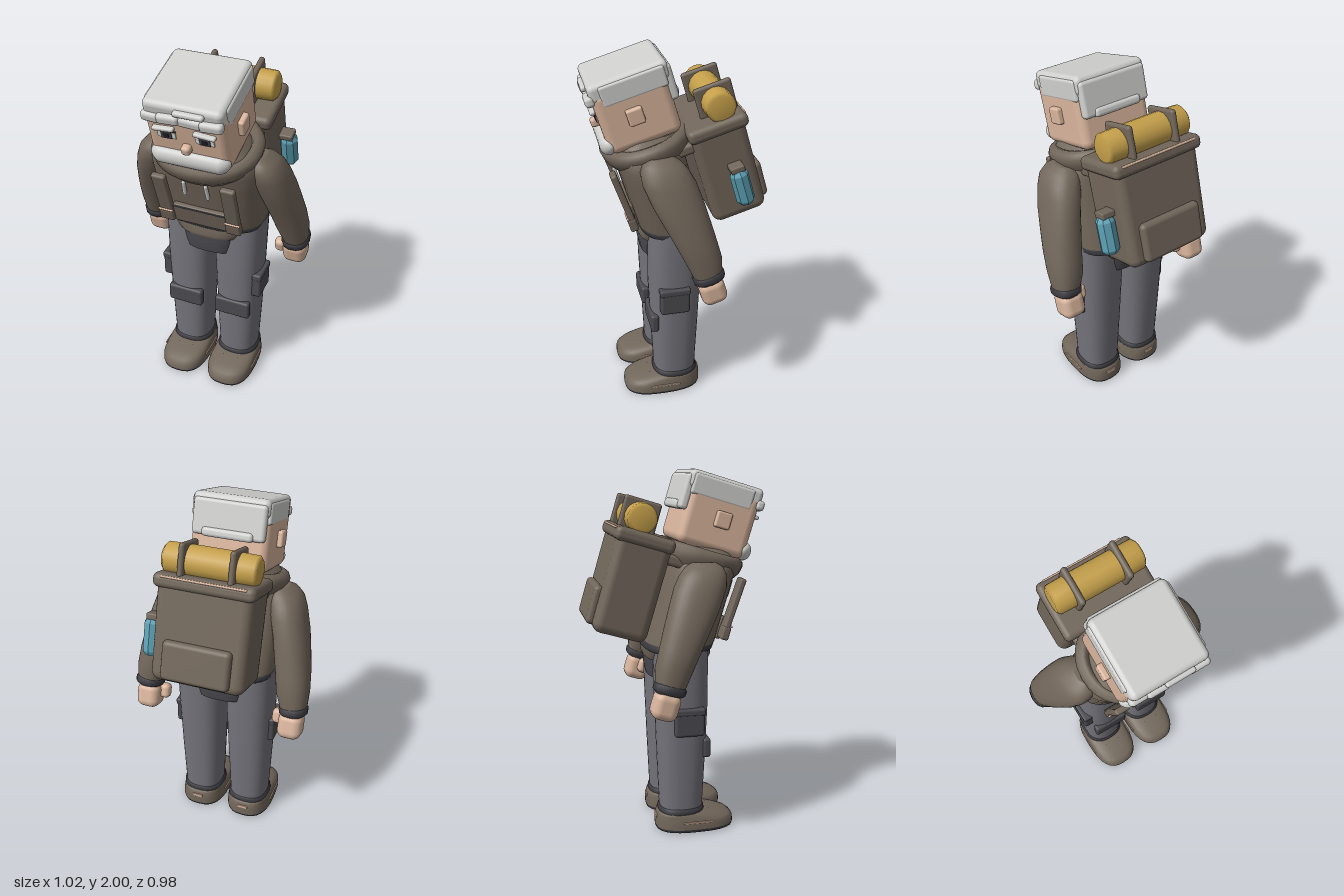
import * as THREE from 'three';
import { RoundedBoxGeometry } from 'three/addons/geometries/RoundedBoxGeometry.js';

const material = (name, color) => new THREE.MeshStandardMaterial({ name, color });
const MAT = {
  brown: material('jacket brown', 0x71665a),
  pants: material('trouser grey', 0x75747c),
  dark: material('dark grey', 0x4b4b50),
  sole: material('charcoal', 0x3c3c42),
  skin: material('skin', 0xd8b49c),
  hair: material('silver hair', 0xcfcfcd),
  gold: material('bedroll gold', 0xc5a04b),
  blue: material('bottle blue', 0x5b9fb3),
  white: material('eye white', 0xe6e6e4),
  black: material('pupil black', 0x222226),
};
const TILT = 0.29;

function add(parent, name, geometry, mat, x = 0, y = 0, z = 0, rx = 0, ry = 0, rz = 0) {
  const mesh = new THREE.Mesh(geometry, mat);
  mesh.name = name;
  mesh.position.set(x, y, z);
  mesh.rotation.set(rx, ry, rz);
  parent.add(mesh);
  return mesh;
}

// Rounded block
function block(parent, name, mat, [w, h, d], [x, y, z], r = 0.02, rot = [0, 0, 0]) {
  const radius = Math.min(r, w * 0.49, h * 0.49, d * 0.49);
  return add(parent, name, new RoundedBoxGeometry(w, h, d, 3, radius), mat, x, y, z, ...rot);
}

// Capped superellipse loft; each ring is [y, centreX, centreZ, radiusX, radiusZ]
function loft(rings, power = 2.5, seg = 32) {
  const pos = [], idx = [];
  const ring = ([y, cx, cz, rx, rz]) => {
    for (let j = 0; j < seg; j++) {
      const a = (j / seg) * Math.PI * 2, c = Math.cos(a), s = Math.sin(a);
      pos.push(cx + rx * Math.sign(c) * Math.abs(c) ** (2 / power), y,
        cz + rz * Math.sign(s) * Math.abs(s) ** (2 / power));
    }
  };
  rings.forEach(ring);
  for (let i = 0; i < rings.length - 1; i++)
    for (let j = 0; j < seg; j++) {
      const a = i * seg + j, b = i * seg + (j + 1) % seg;
      idx.push(a, a + seg, b, b, a + seg, b + seg);
    }
  for (const [r, top] of [[rings[0], false], [rings[rings.length - 1], true]]) {
    const start = pos.length / 3;
    ring(r);
    pos.push(r[1], r[0], r[2]);
    for (let j = 0; j < seg; j++) {
      const a = start + j, b = start + (j + 1) % seg, c = start + seg;
      top ? idx.push(c, b, a) : idx.push(c, a, b);
    }
  }
  const g = new THREE.BufferGeometry();
  g.setAttribute('position', new THREE.Float32BufferAttribute(pos, 3));
  g.setIndex(idx);
  g.computeVertexNormals();
  return g;
}

function makeLeg(root, s) {
  const x = 0.148 * s, leg = new THREE.Group();
  leg.name = s > 0 ? 'leftLeg' : 'rightLeg';
  root.add(leg);
  add(leg, 'trouserLeg', loft([[0.11, x, 0.035, 0.112, 0.12], [0.45, x, 0.035, 0.126, 0.135],
    [0.75, 0.147 * s, 0.035, 0.136, 0.147], [1.07, 0.147 * s, 0.03, 0.143, 0.15]], 2.5), MAT.pants);
  add(leg, 'ankleCuff', loft([[0.095, x, 0.035, 0.118, 0.125], [0.11, x, 0.035, 0.124, 0.13],
    [0.128, x, 0.035, 0.122, 0.128], [0.138, x, 0.035, 0.112, 0.12]], 2.5), MAT.sole);
  block(leg, 'kneePad', MAT.dark, [0.21, 0.11, 0.045], [0.147 * s, 0.487, 0.163], 0.015);
  block(leg, 'cargoPocket', MAT.dark, [0.06, 0.15, 0.165], [0.272 * s, 0.652, 0.055], 0.015);
  block(leg, 'pocketFlap', MAT.dark, [0.066, 0.04, 0.172], [0.272 * s, 0.715, 0.055], 0.012);
  // Boot
  add(leg, 'bootSole', loft([[0, x, 0.112, 0.128, 0.215], [0.006, x, 0.112, 0.136, 0.222],
    [0.026, x, 0.112, 0.138, 0.224]], 2.7), MAT.sole);
  add(leg, 'bootUpper', loft([[0.02, x, 0.112, 0.139, 0.225], [0.055, x, 0.111, 0.138, 0.223],
    [0.075, x, 0.1, 0.132, 0.21], [0.092, x, 0.075, 0.128, 0.18], [0.108, x, 0.045, 0.122, 0.143],
    [0.115, x, 0.035, 0.11, 0.12]], 2.7), MAT.brown);
  for (const side of [-1, 1])
    block(leg, 'bootStripe', MAT.skin, [0.008, 0.009, 0.17], [x + side * 0.136, 0.062, 0.11], 0.003);
  block(leg, 'heelTab', MAT.skin, [0.06, 0.02, 0.008], [x, 0.075, -0.108], 0.003);
  for (let i = 0; i < 3; i++)
    block(leg, 'bootLace', MAT.sole, [0.1, 0.009, 0.014], [x, 0.102 - i * 0.009, 0.19 + i * 0.035], 0.004, [0.25, 0, 0]);
}

function makeArm(root, s) {
  const arm = new THREE.Group();
  arm.name = s > 0 ? 'leftArm' : 'rightArm';
  root.add(arm);
  add(arm, 'sleeve', loft([[0.885, 0.43 * s, -0.088, 0.068, 0.075], [1.0, 0.413 * s, -0.06, 0.09, 0.102],
    [1.1, 0.398 * s, -0.022, 0.094, 0.113], [1.2, 0.377 * s, 0.018, 0.095, 0.125],
    [1.3, 0.355 * s, 0.058, 0.095, 0.135], [1.4, 0.325 * s, 0.095, 0.094, 0.138],
    [1.46, 0.305 * s, 0.115, 0.09, 0.125], [1.5, 0.285 * s, 0.125, 0.075, 0.1],
    [1.525, 0.265 * s, 0.13, 0.045, 0.06]], 2.3), MAT.brown);
  add(arm, 'wristCuff', loft([[-0.025, 0, 0, 0.066, 0.072], [-0.014, 0, 0, 0.078, 0.086],
    [0.014, 0, 0, 0.08, 0.088], [0.026, 0, 0, 0.07, 0.078]], 2.4, 14), MAT.sole,
    0.43 * s, 0.893, -0.09, 0.3, 0, 0.1 * s);
  block(arm, 'hand', MAT.skin, [0.135, 0.15, 0.14], [0.425 * s, 0.808, -0.112], 0.045, [0.3, 0, 0]);
  block(arm, 'thumb', MAT.skin, [0.062, 0.085, 0.065], [0.342 * s, 0.828, -0.085], 0.025, [0.3, 0, 0]);
}

function makeHead(upper) {
  const head = new THREE.Group();
  head.name = 'head';
  upper.add(head);
  block(head, 'face', MAT.skin, [0.425, 0.34, 0.39], [0, 0.77, 0.008], 0.045);
  block(head, 'nose', MAT.skin, [0.05, 0.052, 0.05], [0, 0.732, 0.218], 0.018);
  add(head, 'neck', new THREE.CylinderGeometry(0.14, 0.15, 0.16, 24), MAT.skin, 0, 0.56, 0);
  for (const s of [-1, 1]) {
    block(head, 'ear', MAT.skin, [0.04, 0.088, 0.085], [0.222 * s, 0.774, 0.022], 0.012);
    block(head, 'eyeWhite', MAT.white, [0.098, 0.044, 0.008], [0.1 * s, 0.796, 0.204], 0.003);
    block(head, 'iris', MAT.dark, [0.058, 0.042, 0.008], [0.1 * s, 0.795, 0.208], 0.003);
    block(head, 'pupil', MAT.black, [0.03, 0.028, 0.006], [0.1 * s, 0.795, 0.212], 0.002);
    block(head, 'eyelid', MAT.black, [0.104, 0.009, 0.009], [0.1 * s, 0.82, 0.206], 0.003);
    block(head, 'eyebrow', MAT.hair, [0.115, 0.022, 0.03], [0.107 * s, 0.842, 0.215], 0.009, [0, 0, -0.08 * s]);
    block(head, 'sideHair', MAT.hair, [0.03, 0.11, 0.34], [0.2 * s, 0.915, -0.015], 0.014);
  }
  // Moustache: a bean with drooping rounded ends
  const bean = new THREE.CapsuleGeometry(0.052, 0.32, 10, 24);
  bean.rotateZ(Math.PI / 2);
  const p = bean.attributes.position;
  for (let i = 0; i < p.count; i++) {
    const x = p.getX(i), t = Math.abs(x) / 0.212;
    p.setY(i, p.getY(i) * (1.1 - 0.25 * t * t) + 0.012 * t * t);
    p.setZ(i, p.getZ(i) * 0.75 - 0.03 * t * t);
  }
  bean.computeVertexNormals();
  add(head, 'moustache', bean, MAT.hair, 0, 0.642, 0.22);
  // Hair
  block(head, 'hairTop', MAT.hair, [0.415, 0.1, 0.415], [0, 0.937, 0.0], 0.03);
  block(head, 'hairBack', MAT.hair, [0.395, 0.19, 0.05], [0, 0.865, -0.195], 0.02);
  block(head, 'hairNape', MAT.hair, [0.28, 0.05, 0.05], [0, 0.79, -0.208], 0.02);
  [[-0.165, 0.1, 0.9], [-0.07, 0.12, 0.91], [0.04, 0.13, 0.903], [0.15, 0.12, 0.908]].forEach(([x, w, y], i) =>
    block(head, 'fringeLock', MAT.hair, [w, 0.055, 0.05], [x, y, 0.202 + (i % 2) * 0.008], 0.02, [0, 0, (i % 2 ? 1 : -1) * 0.06]));
  block(head, 'frontCurl', MAT.hair, [0.16, 0.03, 0.035], [0.04, 0.955, 0.213], 0.014);
}

function makePack(upper) {
  const pack = new THREE.Group();
  pack.name = 'backpack';
  upper.add(pack);
  block(pack, 'packBody', MAT.brown, [0.51, 0.54, 0.3], [0, 0.305, -0.345], 0.05);
  block(pack, 'packLid', MAT.brown, [0.54, 0.075, 0.325], [0, 0.565, -0.35], 0.03);
  block(pack, 'backPocket', MAT.brown, [0.37, 0.21, 0.06], [0, 0.165, -0.5], 0.025);
  block(pack, 'lidTrim', MAT.skin, [0.45, 0.012, 0.012], [0, 0.587, -0.508], 0.005);
  // Bedroll
  const roll = new THREE.LatheGeometry([[0, -0.25], [0.062, -0.25], [0.08, -0.235], [0.083, -0.1],
    [0.083, 0.1], [0.08, 0.235], [0.062, 0.25], [0, 0.25]].map(([r, y]) => new THREE.Vector2(r, y)), 16);
  add(pack, 'bedroll', roll, MAT.gold, 0, 0.665, -0.395, 0, 0, Math.PI / 2);
  for (const x of [-0.133, 0.133])
    block(pack, 'rollStrap', MAT.brown, [0.032, 0.18, 0.205], [x, 0.672, -0.395], 0.035);
  // Water bottle
  const bottle = new THREE.LatheGeometry([[0, -0.1], [0.036, -0.1], [0.05, -0.078], [0.05, 0.075],
    [0.034, 0.1], [0, 0.1]].map(([r, y]) => new THREE.Vector2(r, y)), 8).toNonIndexed();
  bottle.computeVertexNormals();
  add(pack, 'waterBottle', bottle, MAT.blue, 0.297, 0.235, -0.38);
  block(pack, 'bottleCap', MAT.brown, [0.08, 0.035, 0.075], [0.288, 0.345, -0.378], 0.008);
}

export function createModel() {
  const root = new THREE.Group();
  root.name = 'hiker';
  for (const s of [-1, 1]) {
    makeLeg(root, s);
    makeArm(root, s);
  }
  // Hips and jacket, leaning forward with height
  add(root, 'hips', loft([[0.875, 0, 0.035, 0.16, 0.165], [0.93, 0, 0.035, 0.17, 0.175],
    [1.0, 0, 0.035, 0.185, 0.178]], 3), MAT.dark);
  add(root, 'lowerHem', loft([[0.98, 0, 0.035, 0.195, 0.18], [1.0, 0, 0.035, 0.205, 0.188],
    [1.05, 0, 0.03, 0.25, 0.185]], 3), MAT.brown);
  add(root, 'hemBand', loft([[1.035, 0, 0.025, 0.27, 0.18], [1.045, 0, 0.027, 0.284, 0.191],
    [1.075, 0, 0.035, 0.288, 0.193], [1.085, 0, 0.035, 0.275, 0.185]], 3), MAT.sole);
  add(root, 'jacketBody', loft([[1.06, 0, 0.032, 0.284, 0.19], [1.09, 0, 0.04, 0.291, 0.194],
    [1.2, 0, 0.075, 0.292, 0.19], [1.35, 0, 0.12, 0.298, 0.188], [1.44, 0, 0.145, 0.3, 0.188],
    [1.5, 0, 0.16, 0.285, 0.182], [1.56, 0, 0.16, 0.24, 0.165], [1.6, 0, 0.155, 0.19, 0.14]], 3), MAT.brown);

  const upper = new THREE.Group();
  upper.name = 'upperBody';
  upper.position.y = 1;
  upper.rotation.x = TILT;
  root.add(upper);
  add(upper, 'collar', loft([[0.48, 0, 0, 0.25, 0.215], [0.525, 0, 0, 0.287, 0.243], [0.565, 0, 0, 0.296, 0.25],
    [0.59, 0, 0, 0.285, 0.243], [0.605, 0, 0, 0.26, 0.22], [0.6, 0, 0, 0.24, 0.2],
    [0.565, 0, 0, 0.22, 0.18]], 2.2), MAT.brown);
  makeHead(upper);
  makePack(upper);

  // Chest details
  block(upper, 'frontPouch', MAT.brown, [0.31, 0.13, 0.035], [0, 0.215, 0.205], 0.012);
  block(upper, 'pouchSeam', MAT.sole, [0.31, 0.008, 0.009], [0, 0.272, 0.221], 0.003);
  for (const s of [-1, 1]) {
    block(upper, 'shoulderStrap', MAT.brown, [0.08, 0.34, 0.035], [0.19 * s, 0.34, 0.222], 0.012, [0.04, 0, 0]);
    block(upper, 'strapBuckle', MAT.brown, [0.085, 0.075, 0.045], [0.19 * s, 0.2, 0.22], 0.012);
    block(upper, 'buckleTrim', MAT.skin, [0.088, 0.012, 0.012], [0.19 * s, 0.243, 0.238], 0.005);
    add(upper, 'drawstring', new THREE.CapsuleGeometry(0.011, 0.085, 4, 10), MAT.hair,
      0.063 * s, 0.43, 0.212, 0, 0, 0.04 * s);
    block(upper, 'topStrap', MAT.brown, [0.08, 0.06, 0.14], [0.19 * s, 0.5, -0.15], 0.02);
  }
  return root;
}
